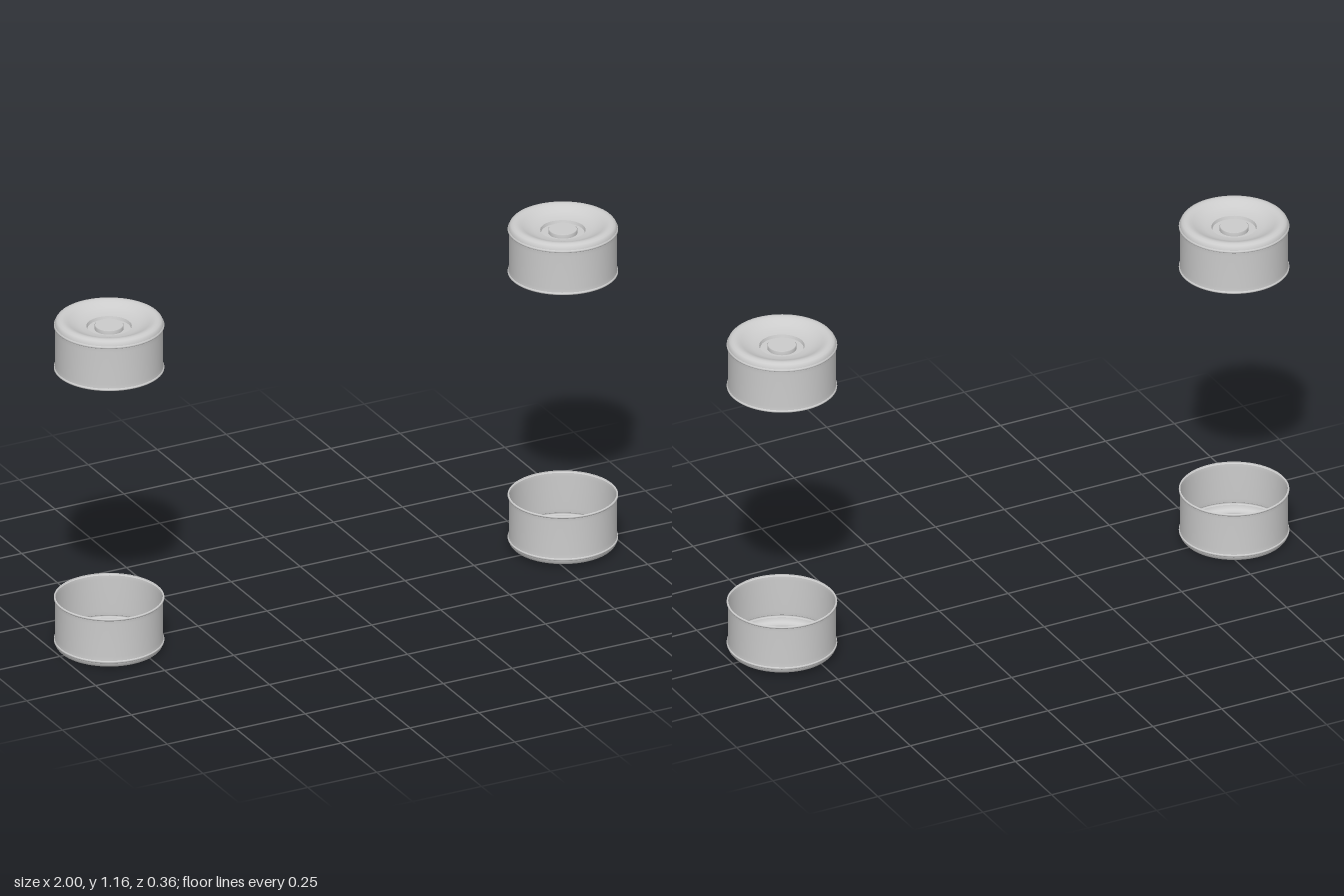
import * as THREE from 'three';

const material = new THREE.MeshStandardMaterial({ color: 0xcccccc, side: THREE.DoubleSide });

// Turned surface from [radius, height] pairs
function turned(name, pairs) {
  const points = pairs.map(([r, y]) => new THREE.Vector2(r, y));
  const mesh = new THREE.Mesh(new THREE.LatheGeometry(points, 64), material);
  mesh.name = name;
  return mesh;
}

// One hollow wheel: open at y = 0, dished outer face at the top
function createWheel(name) {
  const wheel = new THREE.Group();
  wheel.name = name;
  wheel.add(
    // thin bead around the open edge
    turned('openLip', [[0.173, 0], [0.176, 0], [0.178, 0.002], [0.178, 0.005], [0.175, 0.008]]),
    turned('wall', [[0.175, 0.008], [0.174, 0.02], [0.174, 0.135], [0.175, 0.149]]),
    // bead where the wall meets the shoulder
    turned('shoulderBead', [[0.175, 0.149], [0.178, 0.151], [0.178, 0.155], [0.175, 0.158]]),
    // rounded shoulder flowing into the dished face
    turned('dishedFace', [
      [0.175, 0.158], [0.173, 0.166], [0.168, 0.172], [0.160, 0.1755], [0.152, 0.176],
      [0.143, 0.174], [0.132, 0.169], [0.115, 0.160], [0.095, 0.153], [0.073, 0.150],
    ]),
    // recess around the hub
    turned('recessWall', [[0.073, 0.150], [0.070, 0.140]]),
    turned('recessFloor', [[0.070, 0.140], [0.047, 0.140]]),
    turned('hubSide', [[0.047, 0.140], [0.047, 0.152], [0.045, 0.154]]),
    turned('hubCap', [[0.045, 0.154], [0, 0.154]]),
  );
  return wheel;
}

export function createModel() {
  const model = new THREE.Group();
  model.name = 'wheelSet';

  // Upper wheels face up, lower wheels face down; y is the open edge
  const places = [
    ['upperRightWheel', -0.822, 0.987, false],
    ['upperLeftWheel', 0.822, 0.974, false],
    ['lowerRightWheel', -0.822, 0.177, true],
    ['lowerLeftWheel', 0.822, 0.187, true],
  ];
  for (const [name, x, y, flipped] of places) {
    const wheel = createWheel(name);
    wheel.position.set(x, y, 0);
    if (flipped) wheel.rotation.x = Math.PI;
    model.add(wheel);
  }
  return model;
}
